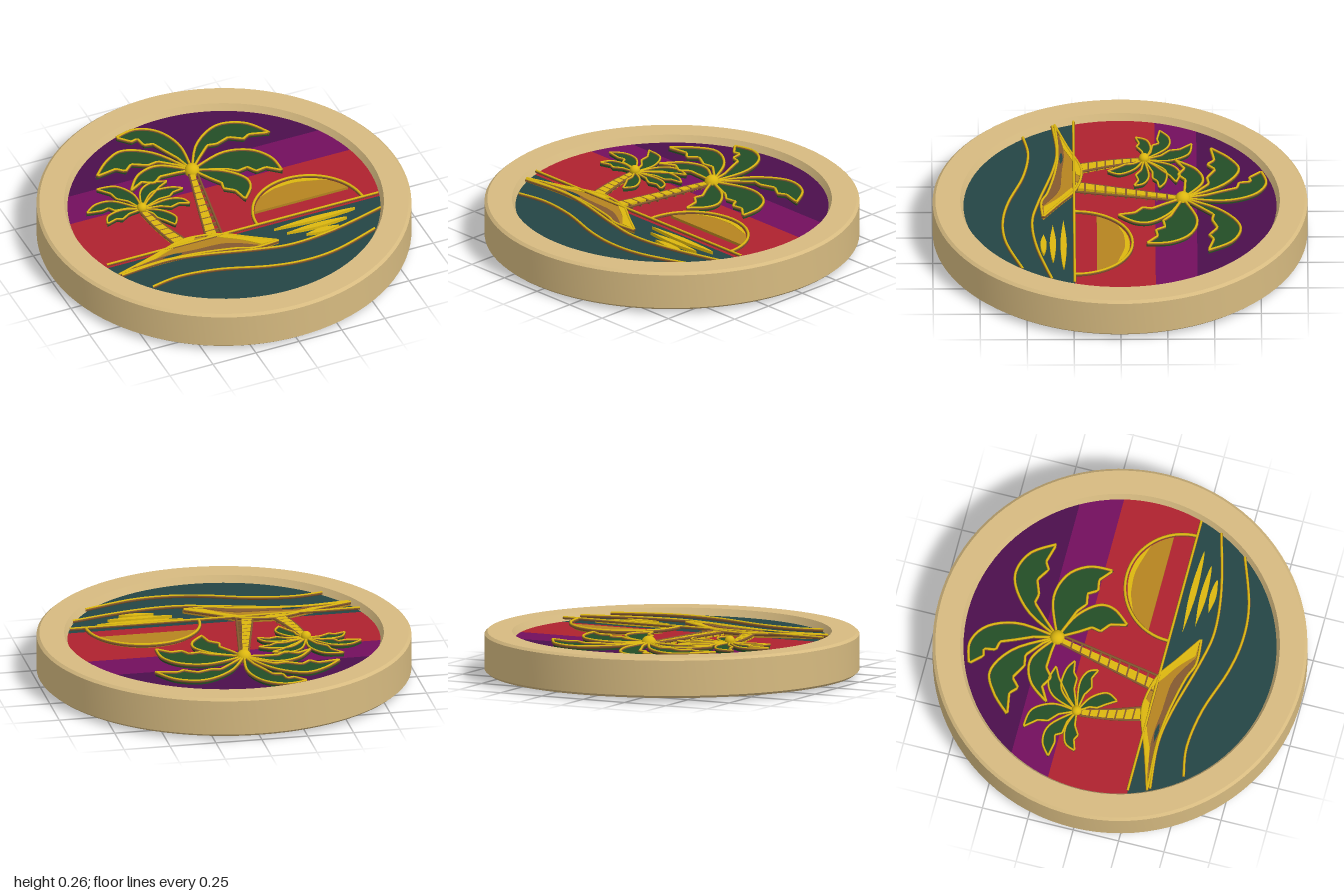
import * as THREE from 'three';
import { toCreasedNormals } from 'three/addons/utils/BufferGeometryUtils.js';

const mat = (name, color) => new THREE.MeshStandardMaterial({ name, color });
const M = {
  rim: mat('pale brass', 0xd6ba80), gold: mat('gold', 0xdcb70f), amber: mat('amber', 0xb58420),
  brown: mat('brown', 0x85592f), green: mat('palm green', 0x234d26), sea: mat('teal', 0x244545),
  red: mat('sunset red', 0xae222e), purple: mat('purple', 0x720f5d), night: mat('deep purple', 0x4b0f4c),
};
const FLOOR = 0.07, RIM = 0.108, R = 0.84, MID = 0.13;

function add(group, name, geometry, material) {
  const mesh = new THREE.Mesh(geometry, material);
  mesh.name = name;
  group.add(mesh);
  return mesh;
}

// smooth curve through [x, z] pairs, returned as [x, z] pairs
const smooth = (pts, n = 20) => new THREE.SplineCurve(pts.map(p => new THREE.Vector2(...p)))
  .getPoints(n).map(v => [v.x, v.y]);

// flat raised plate from an [x, z] outline
function plate(group, name, pts, y0, y1, material) {
  const shape = new THREE.Shape(pts.map(([x, z]) => new THREE.Vector2(x, -z)));
  const geo = new THREE.ExtrudeGeometry(shape, { depth: y1 - y0, bevelEnabled: false });
  geo.rotateX(-Math.PI / 2).translate(0, y0, 0);
  return add(group, name, geo, material);
}

// raised wire: a wide brown tube with a narrower gold one on top
function wire(group, name, pts, closed = false, r = 0.009, y = 0.088) {
  const make = (h, radius) => new THREE.TubeGeometry(new THREE.CatmullRomCurve3(
    pts.map(([x, z]) => new THREE.Vector3(x, h, z)), closed, 'catmullrom', 0), pts.length * 3, radius, 6, closed);
  add(group, name + 'Base', make(y, r), M.brown);
  add(group, name + 'Crest', make(y + r * 0.55, r * 0.75), M.gold);
}

// slice of a disc between two z values
function discBand(cx, cz, r, z0, z1, n = 24) {
  const a0 = Math.asin(Math.max(-1, (z0 - cz) / r)), a1 = Math.asin(Math.min(1, (z1 - cz) / r));
  const right = [], left = [];
  for (let i = 0; i <= n; i++) {
    const a = a0 + (a1 - a0) * i / n;
    right.push([cx + r * Math.cos(a), cz + r * Math.sin(a)]);
    left.unshift([cx - r * Math.cos(a), cz + r * Math.sin(a)]);
  }
  return [...right, ...left];
}

// frond: smooth outer edge from crown to tip, then a notched edge back to the crown
function frond(group, outer, notches, r) {
  const top = smooth(outer, 18);
  const tip = outer[outer.length - 1];
  const stops = [tip, ...notches, outer[0]], edge = [];
  for (let i = 1; i < stops.length; i++) edge.push(stops[i]);
  const outline = [...top, ...edge.slice(0, -1)];
  plate(group, 'frondLeaf', outline, FLOOR - 0.005, 0.087, M.green);
  wire(group, 'frondEdge', outline, true, r);
}

// trunk: gold bark segments on the left, ringed brown edge on the right
function trunk(group, base, top, wBase, wTop, bend, count, split) {
  const at = t => {
    const x = base[0] + (top[0] - base[0]) * t + bend * Math.sin(Math.PI * t);
    return { x, z: base[1] + (top[1] - base[1]) * t, w: (wBase + (wTop - wBase) * t) / 2 };
  };
  const right = [], left = [];
  for (let i = 0; i < count; i++) {
    const a = at(i / count), b = at((i + 0.82) / count);
    plate(group, 'barkSegment', [[a.x - a.w, a.z], [a.x + a.w * split, a.z],
      [b.x + b.w * split, b.z], [b.x - b.w, b.z]], FLOOR - 0.005, 0.092, M.gold);
    plate(group, 'barkRing', [[b.x - b.w, b.z], [b.x + b.w, b.z],
      [b.x + b.w, b.z - 0.009], [b.x - b.w, b.z - 0.009]], FLOOR - 0.005, 0.09, M.brown);
  }
  for (let i = 0; i <= 10; i++) {
    const p = at(i / 10);
    left.push([p.x - p.w, p.z]);
    right.push([p.x + p.w, p.z]);
  }
  for (const side of [left, right]) add(group, 'trunkEdge', new THREE.TubeGeometry(
    new THREE.CatmullRomCurve3(side.map(([x, z]) => new THREE.Vector3(x, 0.087, z))), 20, 0.007, 6), M.brown);
}

function palm(name, crown, radius, fronds, lineR) {
  const g = new THREE.Group();
  g.name = name;
  for (const [outer, notches] of fronds) frond(g, [crown, ...outer], notches, lineR);
  const nut = add(g, 'crownKnob', new THREE.SphereGeometry(radius, 20, 14), M.gold);
  nut.position.set(crown[0], 0.13 - radius, crown[1]);
  return g;
}

function createScene() {
  const g = new THREE.Group();
  // enamel background
  const bands = [['upperSky', -R, -0.41, M.night], ['middleSky', -0.41, -0.187, M.purple],
    ['lowerSky', -0.187, 0.245, M.red], ['sea', 0.245, R, M.sea]];
  for (const [name, z0, z1, m] of bands) plate(g, name, discBand(0, 0, R, z0, z1), FLOOR - 0.008, FLOOR, m);

  // setting sun with its arc
  plate(g, 'sunFace', discBand(0.395, 0.245, 0.297, -0.052, 0.125), FLOOR - 0.005, 0.085, M.amber);
  plate(g, 'sunHighlight', [...smooth([[0.2, 0.02], [0.29, -0.03], [0.4, -0.05], [0.5, -0.032], [0.59, 0.02]]),
    ...smooth([[0.54, 0.005], [0.42, -0.025], [0.3, -0.018]])], 0.08, 0.087, M.gold);
  const arc = [];
  for (let i = 0; i <= 32; i++) {
    const a = Math.PI * i / 32;
    arc.push([0.395 - 0.307 * Math.cos(a), 0.242 - 0.307 * Math.sin(a)]);
  }
  wire(g, 'sunArc', arc, false, 0.01);

  // horizon, waves and reflections
  wire(g, 'horizon', [[-0.79, 0.245], [0.79, 0.245]], false, 0.008, 0.092);
  wire(g, 'upperWave', smooth([[-0.75, 0.358], [-0.5, 0.335], [-0.3, 0.36], [0, 0.437], [0.2, 0.47], [0.45, 0.443], [0.75, 0.365]], 30));
  wire(g, 'lowerWave', smooth([[-0.64, 0.515], [-0.47, 0.488], [-0.25, 0.517], [0, 0.597], [0.2, 0.627], [0.4, 0.607], [0.65, 0.52]], 30));
  for (const [x, z, w] of [[0.395, 0.303, 0.235], [0.385, 0.36, 0.175], [0.395, 0.41, 0.095]]) {
    plate(g, 'reflection', smooth([[x - w, z], [x, z - 0.017], [x + w, z], [x, z + 0.017], [x - w, z]], 24).slice(0, -1),
      FLOOR - 0.005, 0.087, M.gold);
  }

  // island
  const ridge = smooth([[-0.76, 0.345], [-0.55, 0.28], [-0.36, 0.212], [-0.25, 0.207], [-0.12, 0.24], [0, 0.32], [0.14, 0.412]], 28);
  const shore = smooth([[0.14, 0.412], [0, 0.42], [-0.1, 0.385], [-0.3, 0.345], [-0.5, 0.33], [-0.76, 0.345]], 24);
  const coast = [...ridge, ...shore.slice(1, -1)];
  plate(g, 'islandSand', coast, FLOOR - 0.005, 0.09, M.amber);
  plate(g, 'islandShade', [...smooth([[-0.72, 0.34], [-0.5, 0.298], [-0.3, 0.31], [-0.12, 0.325], [0.03, 0.41]]),
    ...smooth([[0, 0.415], [-0.1, 0.38], [-0.3, 0.34], [-0.5, 0.327]])], 0.086, 0.093, M.brown);
  plate(g, 'islandRidgeLight', [...smooth([[-0.72, 0.33], [-0.55, 0.28], [-0.36, 0.215], [-0.26, 0.21]]),
    ...smooth([[-0.28, 0.235], [-0.4, 0.25], [-0.53, 0.3]])], 0.088, 0.095, M.gold);
  plate(g, 'islandSlopeLight', [...smooth([[-0.2, 0.215], [-0.12, 0.24], [0, 0.32], [0.13, 0.407]]),
    ...smooth([[0.04, 0.405], [-0.04, 0.33], [-0.12, 0.275]])], 0.088, 0.095, M.gold);
  plate(g, 'tidePool', smooth([[-0.49, 0.312], [-0.43, 0.303], [-0.38, 0.315], [-0.43, 0.322], [-0.49, 0.312]], 16).slice(0, -1),
    0.09, 0.096, M.sea);
  wire(g, 'islandEdge', coast, true, 0.009);

  // trunks
  const trunks = new THREE.Group();
  trunks.name = 'trunks';
  trunk(trunks, [-0.16, 0.235], [-0.045, -0.31], 0.09, 0.045, 0.0, 10, 0.35);
  trunk(trunks, [-0.345, 0.21], [-0.42, -0.11], 0.075, 0.035, -0.008, 7, 0.8);
  g.add(trunks);

  // palm crowns: [outer edge to tip, notches back]
  g.add(palm('largePalm', [-0.04, -0.335], 0.04, [
    [[[-0.015, -0.55], [-0.07, -0.71], [-0.18, -0.78], [-0.3, -0.755]],
      [[-0.24, -0.69], [-0.2, -0.7], [-0.19, -0.635], [-0.14, -0.625], [-0.11, -0.55], [-0.07, -0.46]]],
    [[[-0.16, -0.54], [-0.31, -0.635], [-0.43, -0.585], [-0.53, -0.485]],
      [[-0.41, -0.505], [-0.37, -0.465], [-0.32, -0.51], [-0.24, -0.465], [-0.18, -0.475], [-0.09, -0.4]]],
    [[[-0.19, -0.44], [-0.32, -0.41], [-0.41, -0.3]],
      [[-0.33, -0.345], [-0.27, -0.31], [-0.22, -0.35], [-0.12, -0.345]]],
    [[[0.07, -0.53], [0.23, -0.64], [0.38, -0.6], [0.47, -0.47]],
      [[0.36, -0.5], [0.32, -0.475], [0.25, -0.52], [0.17, -0.49], [0.12, -0.5], [0.04, -0.42]]],
    [[[0.16, -0.41], [0.31, -0.375], [0.39, -0.27], [0.4, -0.14]],
      [[0.33, -0.2], [0.27, -0.19], [0.24, -0.24], [0.18, -0.23], [0.13, -0.27], [0.05, -0.3]]],
    [[[0.1, -0.27], [0.19, -0.17], [0.19, -0.08], [0.12, 0.01]],
      [[0.1, -0.08], [0.05, -0.12], [0.06, -0.17], [0.02, -0.23]]],
  ], 0.009));
  g.add(palm('smallPalm', [-0.42, -0.13], 0.027, [
    [[[-0.41, -0.26], [-0.47, -0.365], [-0.575, -0.385]], [[-0.52, -0.32], [-0.51, -0.265], [-0.46, -0.22]]],
    [[[-0.53, -0.25], [-0.63, -0.265], [-0.705, -0.215]], [[-0.62, -0.2], [-0.58, -0.21], [-0.56, -0.175], [-0.49, -0.165]]],
    [[[-0.52, -0.165], [-0.61, -0.145], [-0.64, -0.085]], [[-0.58, -0.105], [-0.55, -0.09], [-0.5, -0.12]]],
    [[[-0.37, -0.27], [-0.29, -0.32], [-0.2, -0.3]], [[-0.26, -0.27], [-0.31, -0.23], [-0.36, -0.19]]],
    [[[-0.32, -0.24], [-0.21, -0.245], [-0.145, -0.21]], [[-0.21, -0.2], [-0.24, -0.175], [-0.3, -0.175]]],
    [[[-0.27, -0.155], [-0.19, -0.13], [-0.165, -0.075]], [[-0.22, -0.1], [-0.27, -0.085], [-0.32, -0.115]]],
    [[[-0.33, -0.08], [-0.28, 0], [-0.31, 0.065]], [[-0.345, 0.01], [-0.375, -0.03], [-0.38, -0.07]]],
  ], 0.007));
  return g;
}

export function createModel() {
  const model = new THREE.Group();
  model.name = 'medallion';
  // chamfered rim, same on both faces
  const half = [[1, 0.095], [0.985, RIM], [0.853, RIM], [0.835, FLOOR]];
  const profile = [...half, ...half.map(([r, y]) => [r, -y]).reverse(), half[0]].map(p => new THREE.Vector2(...p));
  const rim = add(model, 'rim', toCreasedNormals(new THREE.LatheGeometry(profile, 96), 0.35), M.rim);
  rim.position.y = MID;
  // picture on the top, and the same picture turned over underneath
  const top = createScene();
  top.name = 'topPicture';
  const bottom = top.clone();
  bottom.name = 'bottomPicture';
  bottom.rotation.z = Math.PI;
  top.position.y = bottom.position.y = MID;
  model.add(top, bottom);
  return model;
}
